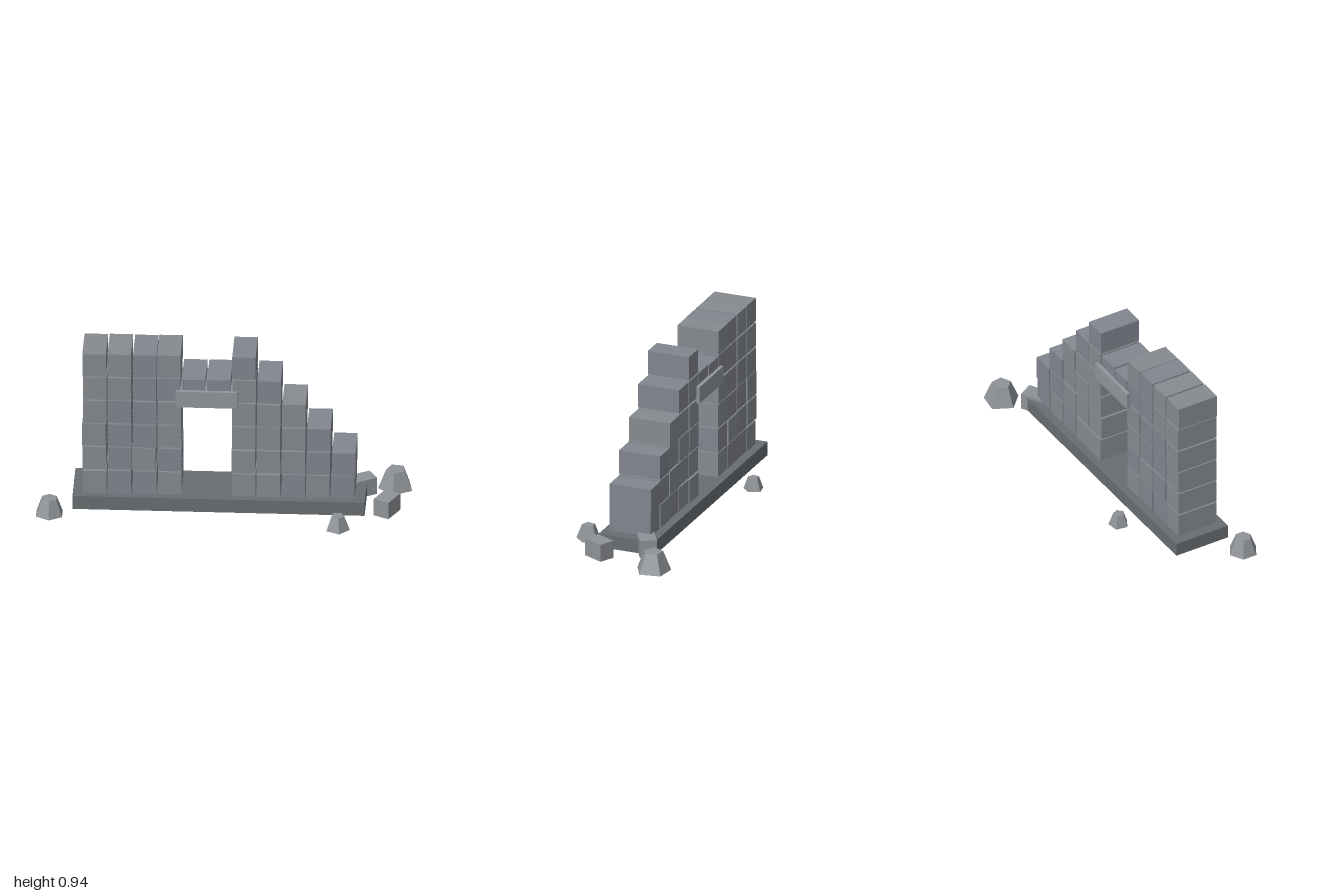
import * as THREE from 'three';

const makeStone = (color) => new THREE.MeshStandardMaterial({ color, flatShading: true });
const slabStone = makeStone(0x686e72);
const lintelStone = makeStone(0x92969b);
const looseStone = makeStone(0x8f9397);
const wallStones = [0x868b90, 0x878c90, 0x82868f].map(makeStone);

// Small seeded generator giving values from -1 to 1
function makeJitter(seed) {
  return () => {
    seed = (seed * 16807) % 2147483647;
    return (seed / 2147483647) * 2 - 1;
  };
}

function addBox(parent, name, material, size, position, turn = 0) {
  const mesh = new THREE.Mesh(new THREE.BoxGeometry(...size), material);
  mesh.name = name;
  mesh.position.set(...position);
  mesh.rotation.y = turn;
  parent.add(mesh);
}

// Tapered low-poly rock standing on the ground
function addRock(parent, x, z, radius, height, sides, turn) {
  const mesh = new THREE.Mesh(
    new THREE.CylinderGeometry(radius * 0.55, radius, height, sides), looseStone);
  mesh.name = 'rock';
  mesh.position.set(x, height / 2, z);
  mesh.rotation.y = turn;
  parent.add(mesh);
}

export function createModel() {
  const model = new THREE.Group();
  model.name = 'ruinedWall';

  // Foundation slab
  addBox(model, 'foundation', slabStone, [1.568, 0.078, 0.322], [-0.022, 0.059, -0.017]);

  // Wall blocks: [first row, row count end] for each column, leaving a doorway
  const wall = new THREE.Group();
  wall.name = 'wall';
  model.add(wall);
  const jitter = makeJitter(4271);
  const columns = [
    [0, 6], [0, 6], [0, 6], [0, 6],
    [4, 5], [4, 5],
    [0, 6], [0, 5], [0, 4], [0, 3], [0, 2],
  ];
  columns.forEach(([start, end], c) => {
    for (let r = start; r < end; r++) {
      const shade = wallStones[Math.floor((jitter() + 1) * 1.49)];
      addBox(wall, 'wallBlock', shade, [0.126, 0.134, 0.239], [
        -0.69 + c * 0.1336 + jitter() * 0.003,
        0.168 + r * 0.1409 + jitter() * 0.003,
        -0.0145 + jitter() * 0.003,
      ]);
    }
  });

  // Lintel over the doorway
  addBox(model, 'lintel', lintelStone, [0.33, 0.095, 0.279], [-0.088, 0.688, -0.0145]);

  // Fallen blocks at the broken end
  addBox(model, 'fallenBlock', looseStone, [0.092, 0.098, 0.128], [0.879, 0.066, 0.093], -0.48);
  addBox(model, 'fallenBlock', looseStone, [0.092, 0.098, 0.128], [0.738, 0.066, -0.125], -1.05);

  // Scattered rocks
  addRock(model, -0.929, 0.165, 0.081, 0.095, 6, 0);
  addRock(model, -0.374, -0.278, 0.056, 0.07, 5, 0.15);
  addRock(model, 0.623, 0.262, 0.067, 0.08, 5, 0.17);
  addRock(model, 0.912, -0.234, 0.098, 0.11, 5, -0.14);

  return model;
}
